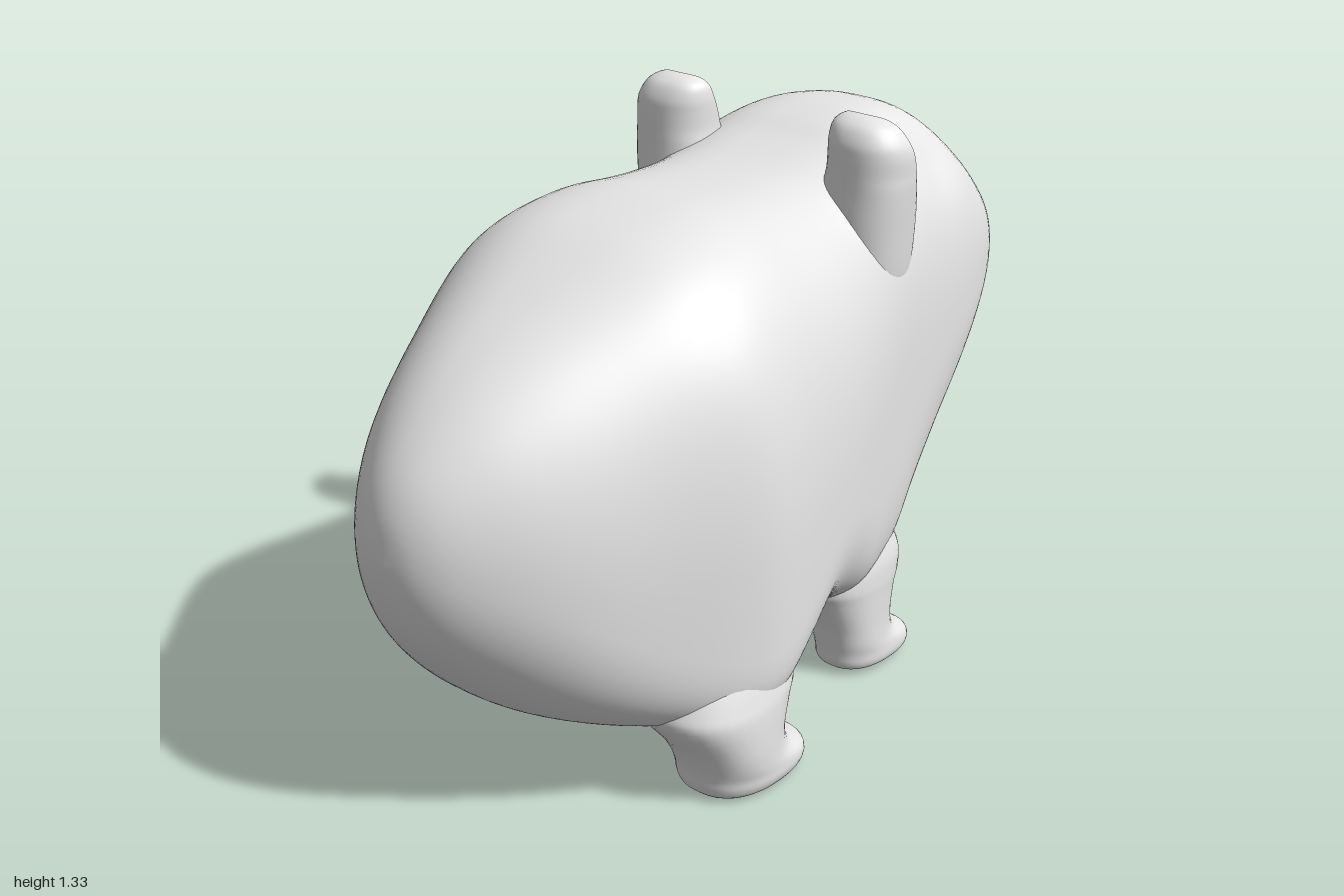
import * as THREE from 'three';
import { mergeVertices } from 'three/addons/utils/BufferGeometryUtils.js';

// Smoothly resample a table of rows (Catmull-Rom on every column)
function resample(rows, steps) {
  const out = [], last = rows.length - 1;
  for (let i = 0; i < last; i++) {
    const [a, b, c, d] = [rows[Math.max(i - 1, 0)], rows[i], rows[i + 1], rows[Math.min(i + 2, last)]];
    for (let s = 0; s < steps; s++) {
      const t = s / steps;
      out.push(b.map((v, k) => v + 0.5 * t * (c[k] - a[k] + t * (2 * a[k] - 5 * v + 4 * c[k] - d[k]
        + t * (3 * (v - c[k]) + d[k] - a[k])))));
    }
  }
  out.push(rows[last]);
  return out;
}

// Skin closed rings, cap both ends and turn the faces outward
function loft(rings) {
  const n = rings[0].length, pts = rings.flat(), idx = [];
  for (let i = 0; i < rings.length - 1; i++) {
    for (let j = 0; j < n; j++) {
      const a = i * n + j, b = i * n + (j + 1) % n;
      idx.push(a, b, b + n, a, b + n, a + n);
    }
  }
  [0, rings.length - 1].forEach((r) => {
    const centre = new THREE.Vector3();
    rings[r].forEach((p) => centre.addScaledVector(p, 1 / n));
    const c = pts.push(centre) - 1;
    for (let j = 0; j < n; j++) {
      const a = r * n + j, b = r * n + (j + 1) % n;
      if (r === 0) idx.push(c, b, a); else idx.push(c, a, b);
    }
  });
  let volume = 0;
  const v = new THREE.Vector3();
  for (let i = 0; i < idx.length; i += 3) {
    volume += pts[idx[i]].dot(v.crossVectors(pts[idx[i + 1]], pts[idx[i + 2]]));
  }
  if (volume < 0) idx.reverse();
  const geo = new THREE.BufferGeometry().setFromPoints(pts);
  geo.setIndex(idx);
  const merged = mergeVertices(geo, 1e-5);
  merged.computeVertexNormals();
  return merged;
}

const ring = (n, fn) => Array.from({ length: n }, (_, j) => {
  const a = (j / n) * Math.PI * 2;
  return fn(Math.cos(a), Math.sin(a));
});
const power = (v, e) => Math.sign(v) * Math.pow(Math.abs(v), e);

// Body: z, top, bottom, half width, height of widest point, roundness above, roundness below
const BODY = [
  [1.0, 0.65, 0.65, 0, 0.65, 2, 2],
  [0.985, 0.75, 0.55, 0.07, 0.645, 2, 2],
  [0.94, 0.84, 0.44, 0.145, 0.63, 2.1, 2.1],
  [0.85, 0.935, 0.325, 0.235, 0.59, 2.2, 2.3],
  [0.74, 1.015, 0.23, 0.315, 0.54, 2.3, 2.7],
  [0.6, 1.09, 0.175, 0.39, 0.49, 2.5, 3.8],
  [0.44, 1.16, 0.165, 0.463, 0.46, 2.75, 6],
  [0.33, 1.19, 0.168, 0.488, 0.45, 2.85, 6],
  [0.2, 1.205, 0.175, 0.473, 0.46, 2.9, 3.6],
  [0.08, 1.195, 0.18, 0.45, 0.5, 2.9, 2.6],
  [-0.03, 1.19, 0.18, 0.428, 0.54, 2.9, 2.9],
  [-0.14, 1.195, 0.18, 0.398, 0.58, 3, 4.2],
  [-0.26, 1.22, 0.185, 0.37, 0.66, 3.2, 4.2],
  [-0.35, 1.25, 0.215, 0.362, 0.71, 3, 3],
  [-0.46, 1.265, 0.31, 0.348, 0.76, 2.7, 2.5],
  [-0.6, 1.235, 0.45, 0.318, 0.79, 2.5, 2.3],
  [-0.74, 1.14, 0.577, 0.268, 0.82, 2.35, 2.2],
  [-0.86, 1.04, 0.68, 0.203, 0.84, 2.2, 2.1],
  [-0.95, 0.955, 0.755, 0.128, 0.85, 2.1, 2],
  [-0.988, 0.905, 0.8, 0.064, 0.85, 2, 2],
  [-1.0, 0.85, 0.85, 0, 0.85, 2, 2],
];

function bodyGeometry() {
  return loft(resample(BODY, 5).map(([z, top, bottom, w, mid, nUp, nDown]) => ring(96, (c, s) => {
    const e = 2 / (s > 0 ? nUp : nDown);
    const p = new THREE.Vector3(w * power(c, e), mid + (s > 0 ? top - mid : mid - bottom) * power(s, e), z);
    // shallow eye hollows beneath the brow
    const d = Math.hypot(Math.abs(p.x) - 0.25, p.y - 1.17, z + 0.54) / 0.09;
    const dent = 0.02 * Math.exp(-d * d);
    p.x -= Math.sign(p.x) * dent * 0.6;
    p.y -= dent;
    return p;
  })));
}

// Legs: y, inner x, outer x, back z, toe z
const HIND_LEG = [
  [0.4, 0.2, 0.42, 0.45, 0.3],
  [0.3, 0.17, 0.462, 0.52, 0.21],
  [0.24, 0.165, 0.48, 0.555, 0.19],
  [0.2, 0.178, 0.487, 0.56, 0.215],
  [0.13, 0.235, 0.49, 0.515, 0.258],
  [0.085, 0.25, 0.49, 0.495, 0.245],
  [0.055, 0.25, 0.49, 0.488, 0.19],
  [0.03, 0.252, 0.488, 0.485, 0.178],
  [0.01, 0.265, 0.475, 0.475, 0.19],
  [0.0, 0.3, 0.44, 0.44, 0.24],
];
const FRONT_LEG = [
  [0.42, 0.18, 0.32, -0.14, -0.27],
  [0.3, 0.13, 0.362, -0.06, -0.34],
  [0.24, 0.135, 0.37, -0.045, -0.34],
  [0.2, 0.16, 0.37, -0.065, -0.315],
  [0.13, 0.195, 0.37, -0.095, -0.29],
  [0.085, 0.2, 0.372, -0.105, -0.3],
  [0.055, 0.198, 0.375, -0.11, -0.355],
  [0.03, 0.198, 0.375, -0.113, -0.368],
  [0.015, 0.21, 0.365, -0.123, -0.355],
  [0.008, 0.24, 0.335, -0.15, -0.31],
];
const legGeometry = (rows, side) => loft(resample(rows, 4).map(([y, inner, outer, back, toe]) =>
  ring(36, (c, s) => new THREE.Vector3(
    side * ((inner + outer) / 2 + (outer - inner) / 2 * power(c, 0.85)),
    y,
    (back + toe) / 2 + (back - toe) / 2 * power(s, 0.85)))));

// Ears: y, centre x, half width, rim z, bulge behind, hollow of the face
const EAR = [
  [0.8, 0.25, 0.06, -0.25, 0.08, -0.08],
  [0.95, 0.255, 0.094, -0.25, 0.1, -0.1],
  [1.08, 0.262, 0.102, -0.25, 0.105, -0.1],
  [1.17, 0.268, 0.104, -0.255, 0.105, -0.07],
  [1.21, 0.271, 0.102, -0.266, 0.114, -0.02],
  [1.25, 0.272, 0.1, -0.26, 0.106, 0.01],
  [1.28, 0.269, 0.094, -0.252, 0.094, 0.018],
  [1.31, 0.262, 0.078, -0.244, 0.07, 0.014],
  [1.325, 0.257, 0.05, -0.238, 0.042, 0.004],
  [1.33, 0.256, 0.015, -0.228, 0.012, 0],
];
const earGeometry = (side) => loft(resample(EAR, 4).map(([y, x, w, rim, bulge, hollow]) =>
  ring(36, (c, s) => new THREE.Vector3(
    side * (x + w * power(c, 0.85)),
    y,
    rim + (s > 0 ? bulge * power(s, 0.85) : -hollow * s)))));

export function createModel() {
  const model = new THREE.Group();
  model.name = 'animal';
  const grey = new THREE.MeshStandardMaterial({ color: 0xe7e7e7 });
  grey.name = 'paleGrey';
  const add = (name, geometry) => {
    const mesh = new THREE.Mesh(geometry, grey);
    mesh.name = name;
    model.add(mesh);
  };
  add('bodyAndHead', bodyGeometry());
  // The head points to -z; left is +x
  for (const [label, side] of [['left', 1], ['right', -1]]) {
    add(label + 'HindLeg', legGeometry(HIND_LEG, side));
    add(label + 'FrontLeg', legGeometry(FRONT_LEG, side));
    add(label + 'Ear', earGeometry(side));
  }
  return model;
}
